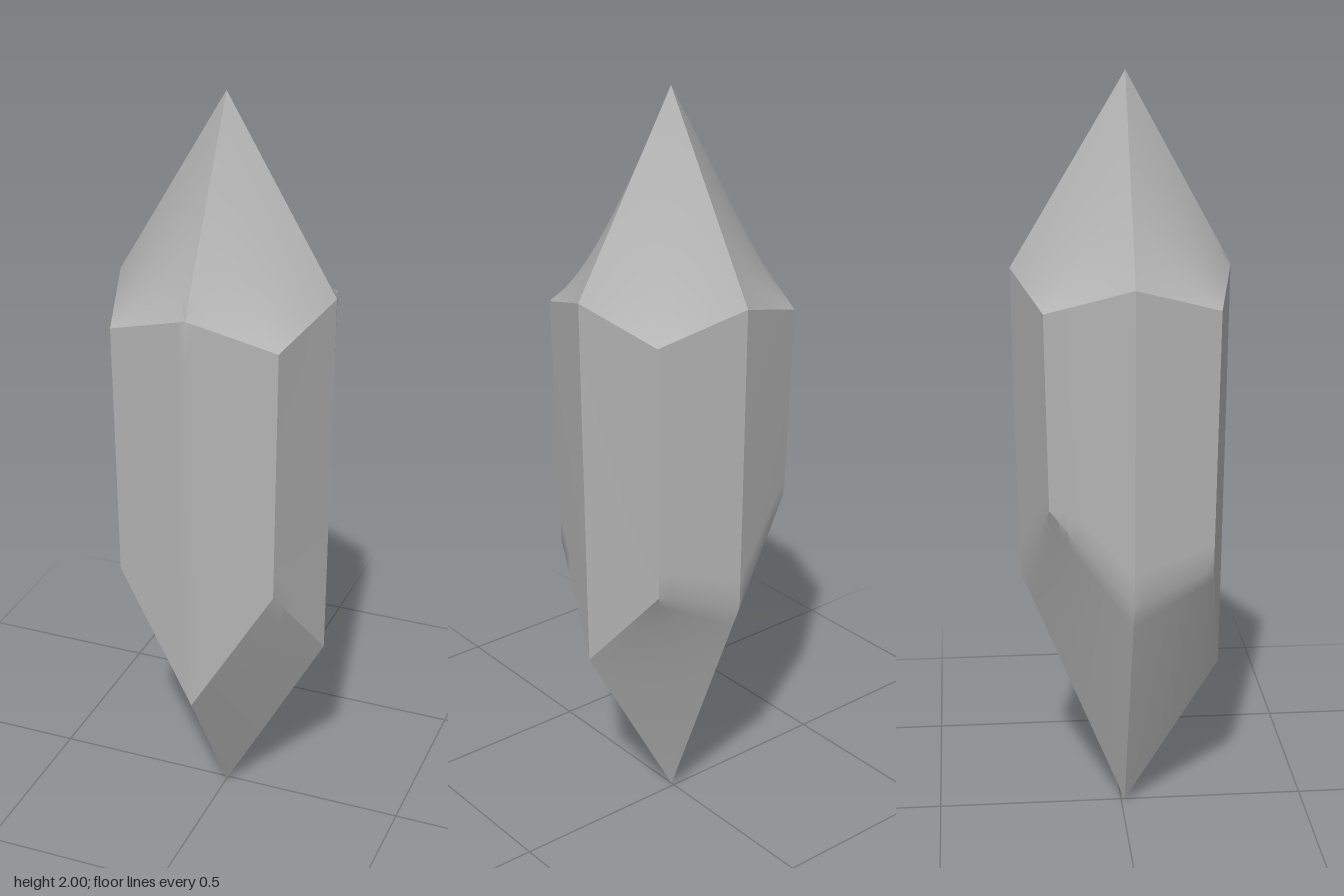
import * as THREE from 'three';
import { toCreasedNormals } from 'three/addons/utils/BufferGeometryUtils.js';

const N = 10; // subdivisions of each facet

// Bilinear patch between four corners, given counter-clockwise from outside
function addPatch(out, a, b, c, d) {
  const at = (i, j) => {
    const low = a.clone().lerp(b, i / N);
    return low.lerp(d.clone().lerp(c, i / N), j / N);
  };
  for (let i = 0; i < N; i++) {
    for (let j = 0; j < N; j++) {
      const p = at(i, j), q = at(i + 1, j), r = at(i + 1, j + 1), s = at(i, j + 1);
      for (const v of [p, q, r, p, r, s]) out.push(v.x, v.y, v.z);
    }
  }
}

export function createModel() {
  const stone = new THREE.MeshStandardMaterial({ color: 0xb4b4b4 });
  stone.name = 'grey stone';

  const V = (x, y, z) => new THREE.Vector3(x, y, z);
  const tip = V(0, 2, 0.01);
  const foot = V(0, 0, 0.01);

  // Shoulder and lower rims, from the front round through the left side
  const upper = [
    V(0, 1.51, 0.28), V(0.22, 1.44, 0.23), V(0.29, 1.51, 0.01), V(0.22, 1.44, -0.21),
    V(0, 1.51, -0.283), V(-0.22, 1.44, -0.21), V(-0.29, 1.51, 0.01), V(-0.22, 1.44, 0.23),
  ];
  const lower = [
    V(0, 0.41, 0.265), V(0.21, 0.76, 0.22), V(0.28, 0.51, 0.01), V(0.21, 0.76, -0.2),
    V(0, 0.69, -0.27), V(-0.21, 0.93, -0.2), V(-0.28, 0.69, 0.01), V(-0.215, 0.76, 0.22),
  ];

  const positions = [];
  // Eight upright facets
  for (let i = 0; i < 8; i++) {
    const k = (i + 1) % 8;
    addPatch(positions, lower[i], lower[k], upper[k], upper[i]);
  }
  // Four curved facets up to the tip and four down to the foot
  for (let i = 0; i < 8; i += 2) {
    const k = (i + 2) % 8;
    addPatch(positions, upper[i], upper[i + 1], upper[k], tip);
    addPatch(positions, foot, lower[k], lower[i + 1], lower[i]);
  }

  const geometry = new THREE.BufferGeometry();
  geometry.setAttribute('position', new THREE.Float32BufferAttribute(positions, 3));

  const crystal = new THREE.Mesh(toCreasedNormals(geometry, Math.PI / 6), stone);
  crystal.name = 'crystal';

  const group = new THREE.Group();
  group.name = 'pointed crystal';
  group.add(crystal);
  return group;
}
